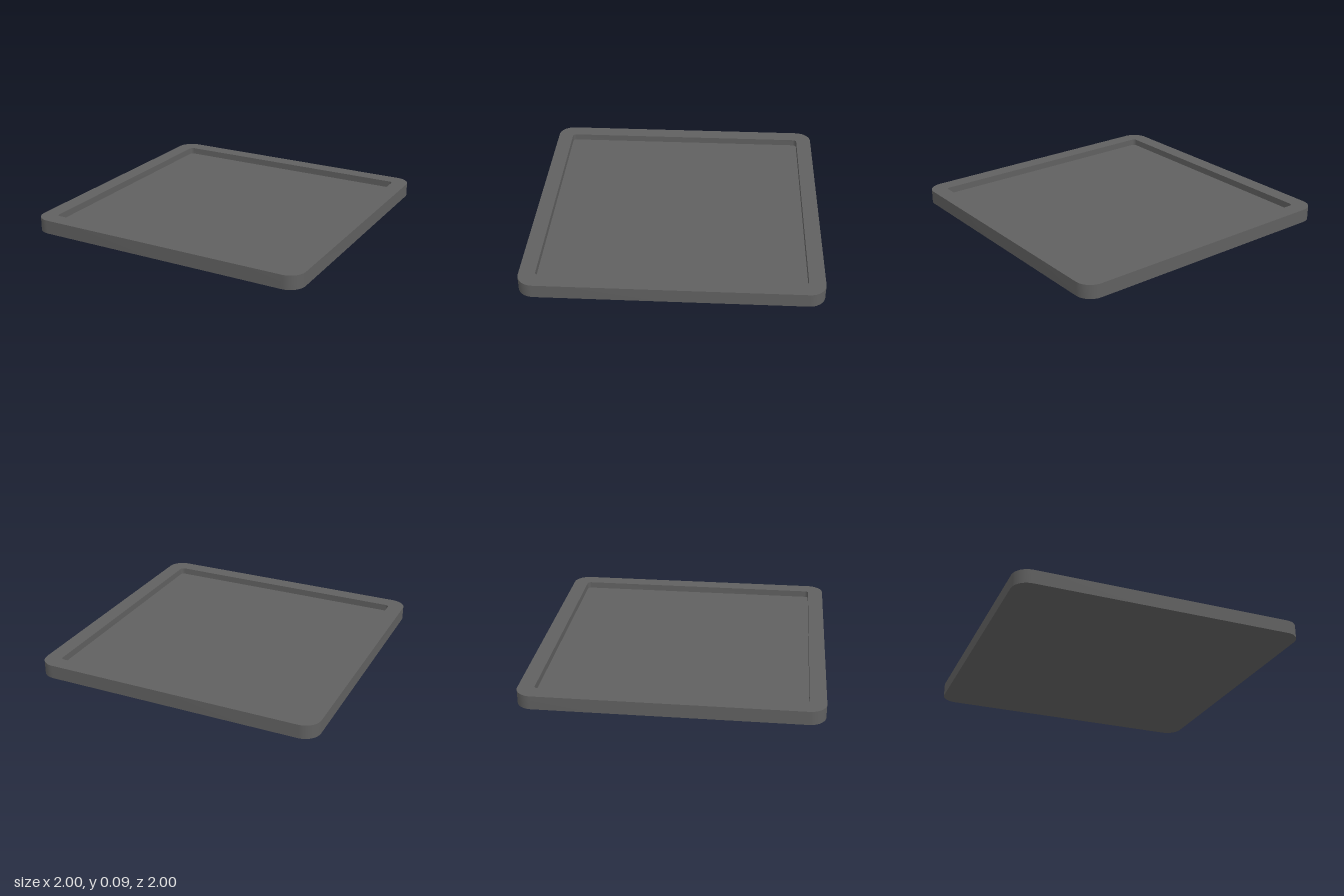
import * as THREE from 'three';
import { toCreasedNormals } from 'three/addons/utils/BufferGeometryUtils.js';

const CORNER_STEPS = 12;

// One horizontal loop: a rounded square of given half width, corner radius and height
function roundedSquare({ half, radius, y }) {
  const points = [];
  for (let corner = 0; corner < 4; corner++) {
    const mid = (corner + 0.5) * Math.PI / 2;
    const cx = Math.sign(Math.cos(mid)) * (half - radius);
    const cz = Math.sign(Math.sin(mid)) * (half - radius);
    for (let i = 0; i <= CORNER_STEPS; i++) {
      const a = (corner + i / CORNER_STEPS) * Math.PI / 2;
      points.push([cx + radius * Math.cos(a), y, cz + radius * Math.sin(a)]);
    }
  }
  return points;
}

// Joins successive loops with quads and closes both ends with fans
function loft(loops) {
  const positions = [];
  const tri = (...corners) => corners.forEach((p) => positions.push(...p));
  const count = loops[0].length;
  const first = loops[0];
  const last = loops[loops.length - 1];
  for (let i = 0; i < count; i++) {
    const j = (i + 1) % count;
    tri([0, first[0][1], 0], first[i], first[j]);
    for (let k = 0; k < loops.length - 1; k++) {
      const lower = loops[k];
      const upper = loops[k + 1];
      tri(lower[i], upper[i], upper[j]);
      tri(lower[i], upper[j], lower[j]);
    }
    tri(last[i], [0, last[0][1], 0], last[j]);
  }
  const geometry = new THREE.BufferGeometry();
  geometry.setAttribute('position', new THREE.Float32BufferAttribute(positions, 3));
  return toCreasedNormals(geometry, Math.PI / 6);
}

export function createModel() {
  const group = new THREE.Group();
  group.name = 'squareTray';

  // Underside edge, outer rim, inner rim, recessed floor edge
  const profile = [
    { half: 1, radius: 0.11, y: 0 },
    { half: 1, radius: 0.11, y: 0.095 },
    { half: 0.89, radius: 0.025, y: 0.095 },
    { half: 0.89, radius: 0.025, y: 0.048 },
  ];
  const tray = new THREE.Mesh(
    loft(profile.map(roundedSquare)),
    new THREE.MeshStandardMaterial({ color: 0x606060 }),
  );
  tray.name = 'tray';
  group.add(tray);
  return group;
}
